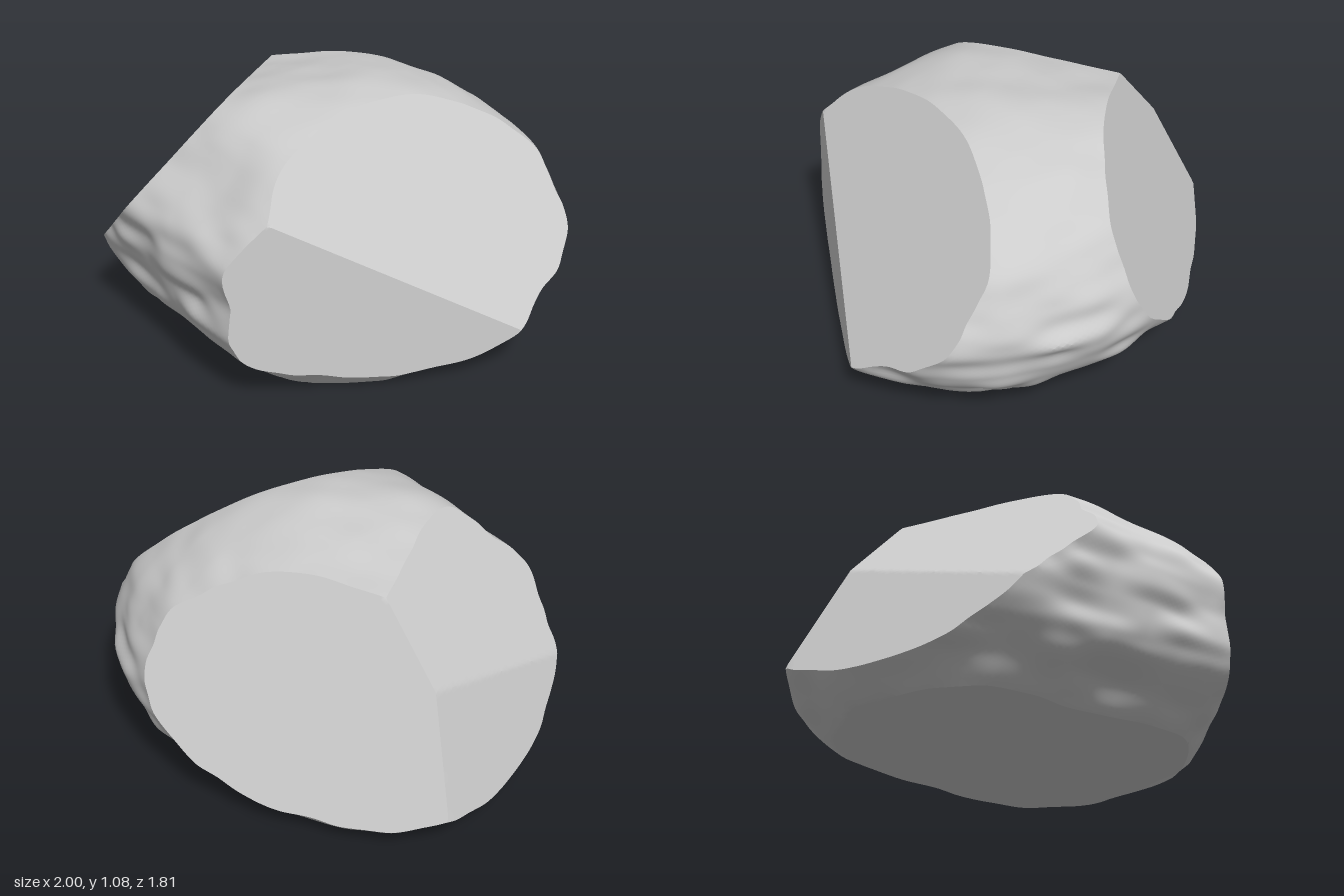
import * as THREE from 'three';
import { mergeVertices, toCreasedNormals } from 'three/addons/utils/BufferGeometryUtils.js';

const CENTRE = new THREE.Vector3(0, 0.45, 0);

// Plane [nx, ny, nz, d] as a unit normal and its distance from the centre
const plane = ([x, y, z, d]) => {
  const n = new THREE.Vector3(x, y, z), len = n.length();
  return { n: n.clone().divideScalar(len), d: (d - n.dot(CENTRE)) / len };
};

// Clean split faces of the boulder, and the flat underside
const cleanCuts = [
  [0.65, 0.472, 0.087, 0.7305],      // left side, large sloping face
  [0.2374, 0.0152, 0.1358, 0.2224],  // left side, steep front face
  [-0.3876, 0.1532, 0.1408, 0.3853], // right side, lower face
  [-0.234, 0.221, 0.129, 0.3123],    // right side, upper face
  [-0.0526, 0.0375, -0.0668, 0.0722], // back right face
  [0, -1, 0, 0],                     // underside
].map(plane);

// Weathered planes that flatten the front and top and undercut the rim
const roughCuts = [
  [0, 0.71, 0.7, 1.062],        // front slope
  [-0.1, -0.15, 1, 0.785],      // front
  [-0.2, 0.98, 0, 1.05],        // top, dipping to the right side
  [-0.08, -0.78, 0.62, 0.345],  // front undercut
  [0, -0.8, -0.6, 0.345],       // back undercut
  [0.5, -0.75, 0.45, 0.485],    // front left undercut
  [-0.5, -0.35, 0.75, 0.745],   // front right corner
  [-0.45, -0.75, 0.5, 0.51],    // front right undercut
  [0.45, -0.9, 0, 0.34],        // left undercut
  [-0.33, -0.94, 0, 0.257],     // right undercut
].map(plane);

// Smooth value noise on a hashed lattice
const hash = (x, y, z) => {
  let h = Math.imul(x, 374761393) ^ Math.imul(y, 668265263) ^ Math.imul(z, 1274126177);
  h = Math.imul(h ^ (h >>> 13), 1103515245);
  return ((h ^ (h >>> 16)) >>> 0) / 4294967295;
};
function noise(x, y, z) {
  const i = [x, y, z].map(Math.floor);
  const f = [x - i[0], y - i[1], z - i[2]].map((t) => t * t * (3 - 2 * t));
  let sum = 0;
  for (let k = 0; k < 8; k++) {
    const a = k & 1, b = (k >> 1) & 1, c = k >> 2;
    sum += hash(i[0] + a, i[1] + b, i[2] + c)
      * (a ? f[0] : 1 - f[0]) * (b ? f[1] : 1 - f[1]) * (c ? f[2] : 1 - f[2]);
  }
  return sum * 2 - 1;
}

const hit = (p, dir) => {
  const s = p.n.dot(dir);
  return s > 1e-4 ? p.d / s : Infinity;
};

// Weathered skin: an ellipsoid softly blended with the rough planes, plus layered bumps
const BLEND = 45;
function skin(dir) {
  const depth = dir.z > 0 ? 1.05 : 0.91;
  let sum = Math.hypot(dir.x / 1.12, dir.y / 0.628, dir.z / depth) ** BLEND;
  for (const p of roughCuts) sum += hit(p, dir) ** -BLEND;
  const r = sum ** (-1 / BLEND);
  const { x, y, z } = dir.clone().multiplyScalar(r);
  const bumps = 0.02 * noise(x * 3 + 9, y * 6 + 5, z * 3 + 2)
    + 0.018 * noise(x * 6 + 31, y * 14 + 17, z * 6 + 23);
  return r + bumps * (1 - 0.5 * THREE.MathUtils.smoothstep(y, 0.1, 0.4));
}

// The two nearest surfaces along a direction
function nearest(dir) {
  const list = [skin(dir), ...cleanCuts.map((p) => hit(p, dir))].map((r, id) => ({ r, id }));
  return list.sort((a, b) => a.r - b.r).slice(0, 2);
}

// Slide directions close to a ridge onto it, so split edges stay clean
function snapToRidge(dir, reach) {
  const [a, b] = nearest(dir);
  if (b.r - a.r > 0.12) return;
  const at = (id, v) => (id === 0 ? skin(v) : hit(cleanCuts[id - 1], v));
  const gap = (v) => at(b.id, v) - at(a.id, v);
  const u = new THREE.Vector3(0.31, 0.77, 0.55).cross(dir).normalize();
  const w = dir.clone().cross(u);
  const g = gap(dir), e = 1e-3;
  const gu = (gap(dir.clone().addScaledVector(u, e).normalize()) - g) / e;
  const gw = (gap(dir.clone().addScaledVector(w, e).normalize()) - g) / e;
  const slope = Math.hypot(gu, gw);
  if (slope < 0.05 || g / slope > reach) return;
  const step = -g / (slope * slope);
  dir.addScaledVector(u, gu * step).addScaledVector(w, gw * step).normalize();
}

export function createModel() {
  const group = new THREE.Group();
  group.name = 'rock';

  let geometry = new THREE.IcosahedronGeometry(1, 60);
  geometry.deleteAttribute('uv');
  geometry.deleteAttribute('normal');
  geometry = mergeVertices(geometry, 1e-5);

  const pos = geometry.attributes.position;
  const dir = new THREE.Vector3();
  for (let i = 0; i < pos.count; i++) {
    dir.fromBufferAttribute(pos, i).normalize();
    snapToRidge(dir, 0.0105);
    snapToRidge(dir, 0.003);
    dir.multiplyScalar(nearest(dir)[0].r).add(CENTRE);
    pos.setXYZ(i, dir.x, Math.max(0, dir.y), dir.z);
  }

  const boulder = new THREE.Mesh(
    toCreasedNormals(geometry, 0.55),
    new THREE.MeshStandardMaterial({ color: 0xcccccc }),
  );
  boulder.name = 'boulder';
  group.add(boulder);
  return group;
}
